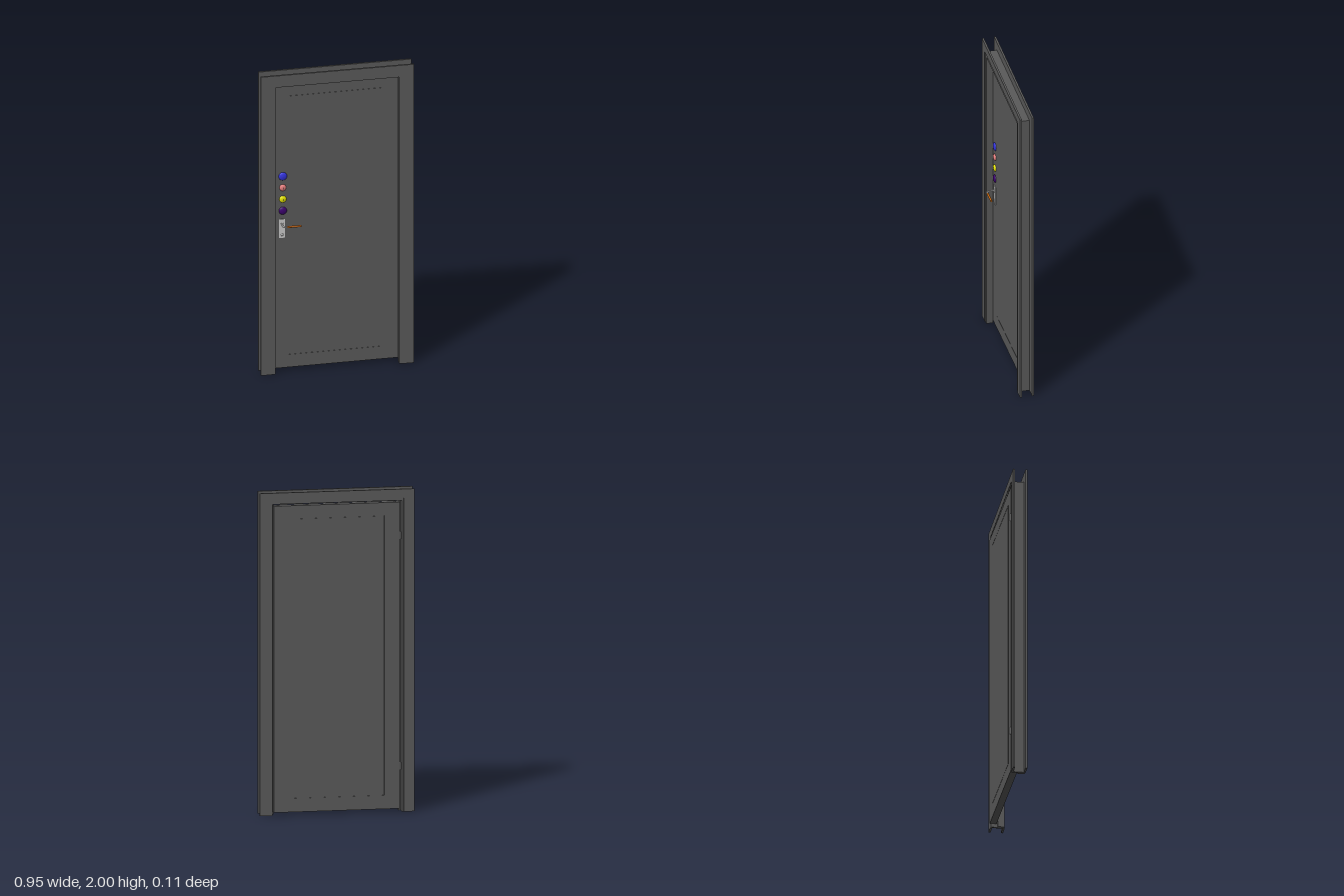
import * as THREE from 'three';

const steel = new THREE.MeshStandardMaterial({ color: 0x5a5a5a });
const grey = new THREE.MeshStandardMaterial({ color: 0xcccccc });
const dark = new THREE.MeshStandardMaterial({ color: 0x222222 });
const tint = (color) => new THREE.MeshStandardMaterial({ color });

function add(parent, name, geometry, material, x = 0, y = 0, z = 0) {
  const mesh = new THREE.Mesh(geometry, material);
  mesh.name = name;
  mesh.position.set(x, y, z);
  parent.add(mesh);
  return mesh;
}

const extrude = (shape, depth) =>
  new THREE.ExtrudeGeometry(shape, { depth, bevelEnabled: false, curveSegments: 16 });

// Upside-down U standing on the floor, between an outer and an inner outline
function arch(outerX, outerY, innerX, innerY, z0, z1) {
  const pts = [[-outerX, 0], [-innerX, 0], [-innerX, innerY], [innerX, innerY],
    [innerX, 0], [outerX, 0], [outerX, outerY], [-outerX, outerY]];
  const shape = new THREE.Shape(pts.map(([x, y]) => new THREE.Vector2(x, y)));
  return extrude(shape, z1 - z0).translate(0, 0, z0);
}

function rect(x0, y0, x1, y1, Type = THREE.Shape) {
  const p = new Type();
  p.moveTo(x0, y0).lineTo(x1, y0).lineTo(x1, y1).lineTo(x0, y1).closePath();
  return p;
}

export function createModel() {
  const model = new THREE.Group();
  model.name = 'door';

  // Frame: wide casings front and back, jamb with a stop and a rebate
  const frame = new THREE.Group();
  frame.name = 'frame';
  model.add(frame);
  add(frame, 'frontCasing', arch(0.475, 2, 0.41, 1.945, 0.031, 0.043), steel);
  add(frame, 'backCasing', arch(0.475, 2, 0.41, 1.945, -0.045, -0.033), steel);
  add(frame, 'jambStop', arch(0.41, 1.945, 0.384, 1.92, -0.002, 0.039), steel);
  add(frame, 'jambRebate', arch(0.41, 1.945, 0.398, 1.93, -0.043, -0.002), steel);

  // Leaf hangs on the hinge line, slightly ajar
  const hingeX = -0.385, hingeZ = -0.0445;
  const leaf = new THREE.Group();
  leaf.name = 'leaf';
  leaf.position.set(hingeX, 0, hingeZ);
  leaf.rotation.y = 0.009;
  model.add(leaf);
  const body = new THREE.Group();
  body.name = 'leafBody';
  body.position.set(-hingeX, 0, 0);
  leaf.add(body);

  const face = 0.042, skin = 0.002;
  add(body, 'leafCore', new THREE.BoxGeometry(0.776, 1.9, face - 2 * skin), steel, 0.002, 0.97, face / 2);
  // Each skin is a border and a centre panel separated by a fine groove
  for (const [side, z] of [['front', face - skin], ['back', 0]]) {
    const border = rect(-0.386, 0.02, 0.39, 1.92);
    border.holes.push(rect(-0.29, 0.105, 0.29, 1.84, THREE.Path));
    add(body, side + 'Border', extrude(border, skin), steel, 0, 0, z);
    add(body, side + 'Panel', extrude(rect(-0.287, 0.108, 0.287, 1.837), skin), steel, 0, 0, z);
  }

  // Domed lock covers, two of them with key slots
  const covers = [
    ['blueCover', 1.303, 0.026, 0x3333dd, false],
    ['pinkCover', 1.227, 0.021, 0xe88080, true],
    ['yellowCover', 1.15, 0.022, 0xe6e600, true],
    ['purpleCover', 1.073, 0.025, 0x3d0070, false],
  ];
  for (const [name, y, r, color, slot] of covers) {
    const cover = new THREE.Group();
    cover.name = name;
    cover.position.set(-0.33, y, face);
    body.add(cover);
    const profile = [[r, 0], [r, 0.003], [r * 0.92, 0.006], [r * 0.72, 0.009], [r * 0.4, 0.011], [0, 0.012]];
    const dome = new THREE.LatheGeometry(profile.map(([x, h]) => new THREE.Vector2(x, h)), 32);
    add(cover, 'dome', dome.rotateX(Math.PI / 2), tint(color));
    if (slot) add(cover, 'keySlot', new THREE.BoxGeometry(0.003, 0.012, 0.002), dark, 0, 0, 0.0115);
  }

  // Lock plate with a keyhole
  const handle = new THREE.Group();
  handle.name = 'handle';
  handle.position.set(-0.335, 0, face);
  body.add(handle);
  const plate = rect(-0.019, 0.892, 0.019, 1.016);
  const hole = new THREE.Path();
  hole.absarc(0, 0.914, 0.009, 0, Math.PI * 2, true);
  plate.holes.push(hole);
  add(handle, 'lockPlate', extrude(plate, 0.004), grey);
  add(handle, 'keyCylinder', new THREE.CylinderGeometry(0.006, 0.006, 0.003, 20).rotateX(Math.PI / 2),
    grey, 0, 0.914, 0.0015);

  // Lever: grey neck bending sideways into an orange grip
  const neck = new THREE.CatmullRomCurve3([[0, 0], [0, 0.04], [0.004, 0.048], [0.012, 0.051], [0.026, 0.051]]
    .map(([x, z]) => new THREE.Vector3(x, 0.983, z)));
  add(handle, 'leverNeck', new THREE.TubeGeometry(neck, 24, 0.005, 12), grey);
  add(handle, 'neckCollar', new THREE.CylinderGeometry(0.01, 0.01, 0.005, 20).rotateX(Math.PI / 2),
    grey, 0, 0.983, 0.006);
  add(handle, 'leverGrip', new THREE.CylinderGeometry(0.006, 0.006, 0.088, 16).rotateZ(Math.PI / 2),
    tint(0xd87010), 0.066, 0.983, 0.051);

  // Hinge barrels on the back
  for (const y of [0.285, 1.715]) {
    add(model, 'hinge', new THREE.CylinderGeometry(0.005, 0.005, 0.046, 16), grey, -0.387, y, -0.049);
  }

  return model;
}
